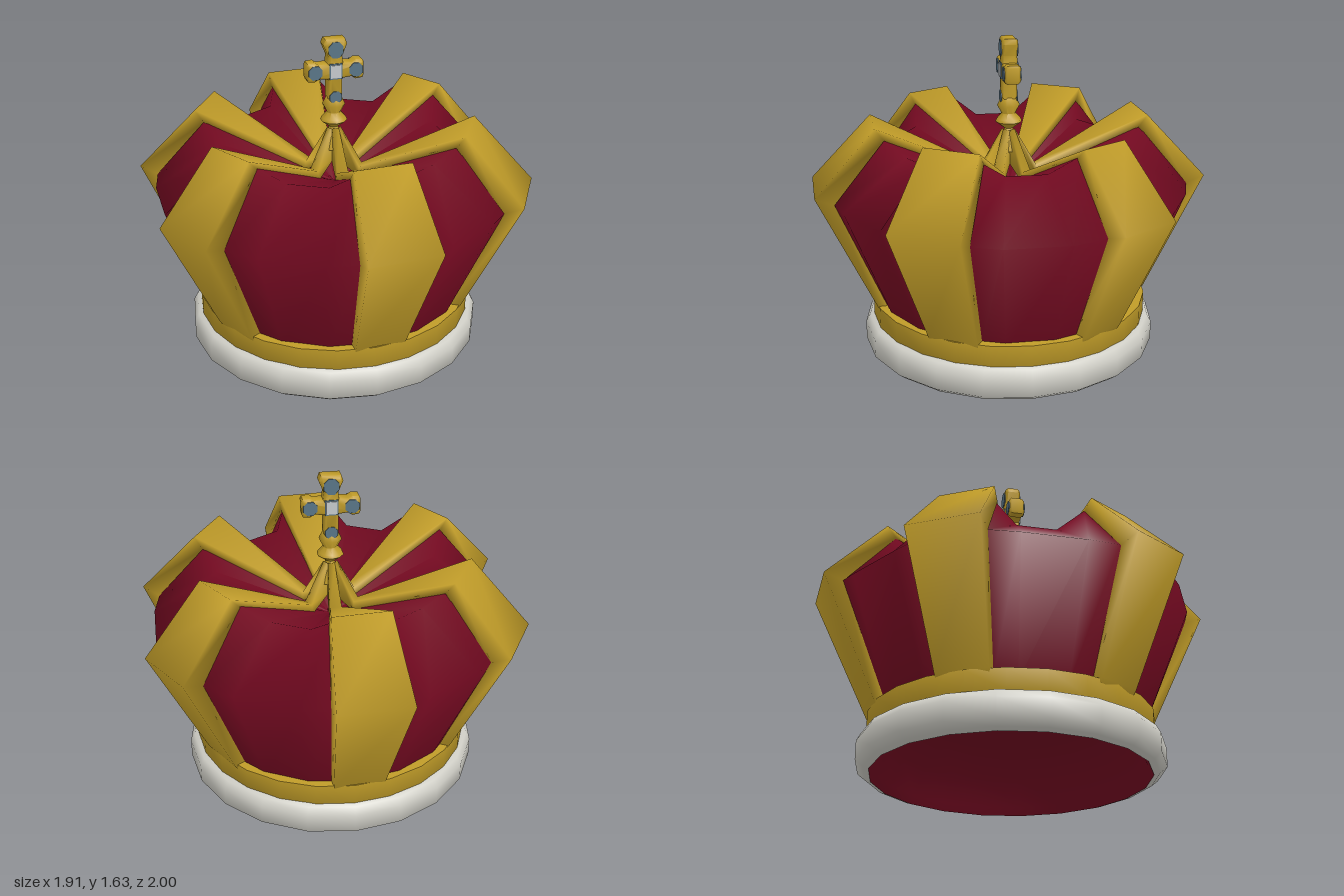
import * as THREE from 'three';
import { toCreasedNormals } from 'three/addons/utils/BufferGeometryUtils.js';

const material = (name, color) => {
  const m = new THREE.MeshStandardMaterial({ color });
  m.name = name;
  return m;
};

// Skin a list of closed rings with equal point counts, smooth all over.
function loft(rings) {
  const n = rings[0].length;
  const index = [];
  for (let j = 0; j < rings.length - 1; j++) {
    for (let k = 0; k < n; k++) {
      const a = j * n + k, b = j * n + (k + 1) % n;
      index.push(a, b, b + n, a, b + n, a + n);
    }
  }
  const g = new THREE.BufferGeometry();
  g.setAttribute('position', new THREE.Float32BufferAttribute(rings.flat(2), 3));
  g.setIndex(index);
  g.computeVertexNormals();
  return g;
}

const lathe = (points, sides, crease = 0.9) => toCreasedNormals(
  new THREE.LatheGeometry(points.map(p => new THREE.Vector2(...p)), sides), crease);

export function createModel() {
  const gold = material('gold', 0xbf9b28);
  const red = material('red velvet', 0x720920);
  const fur = material('white fur', 0xcfcec6);
  const blue = material('blue gem', 0x587486);
  const pale = material('pale gem', 0xc3c8cc);

  const model = new THREE.Group();
  const add = (name, geometry, mat, parent = model) => {
    const mesh = new THREE.Mesh(geometry, mat);
    mesh.name = name;
    parent.add(mesh);
    return mesh;
  };
  const rad = THREE.MathUtils.degToRad;

  // Fur trim and gold band
  add('furTrim', lathe([[0.695, 0], [0.725, 0.01], [0.762, 0.04],
    [0.762, 0.135], [0.74, 0.175], [0.69, 0.185]], 20, 1.1), fur);
  add('goldBand', lathe([[0.7, 0.16], [0.716, 0.18], [0.716, 0.288], [0.64, 0.292]], 24), gold);

  // Domed velvet lining, open towards the ground
  add('lining', lathe([[0, 0.4], [0.25, 0.375], [0.45, 0.3], [0.6, 0.17], [0.67, 0.04], [0.695, 0]],
    20, 1.5), red);

  // Straps, slightly uneven around the crown: angle, width factor, reach factor
  const straps = [[2.4, 1, 1], [58.9, 1, 1], [120.6, 0.89, 1.015],
    [182.4, 1, 1], [238.7, 1, 1], [300.4, 0.89, 1.015]];

  // Velvet cap: puffs out at the waist, dips between the straps and at the centre
  const columns = [];
  straps.forEach(([a], i) => {
    const b = i < 5 ? straps[i + 1][0] : straps[0][0] + 360;
    const mid = (a + b) / 2;
    columns.push([a + 11, 0], [mid - 10, 1], [mid + 10, 1], [b - 11, 0]);
  });
  // Each row: radius and height beside a strap, then in the gap
  const capRows = [[0.655, 0.25, 0.665, 0.25], [0.92, 0.87, 0.91, 0.86],
    [0.66, 1.18, 0.575, 1.09], [0.001, 0.86, 0.001, 0.86]];
  add('velvetCap', loft(capRows.map(row => columns.map(([deg, gap]) => {
    const r = row[gap * 2], y = row[gap * 2 + 1], a = rad(deg);
    return [r * Math.sin(a), y, r * Math.cos(a)];
  }))), red);

  // Strap stations: outer radius and height, inner radius and height, outer and inner width
  const stations = [
    [0.695, 0.265, 0.64, 0.265, 0.255, 0.26], [0.708, 0.288, 0.65, 0.288, 0.26, 0.265],
    [0.995, 0.905, 0.9, 0.87, 0.365, 0.37], [0.69, 1.232, 0.645, 1.17, 0.285, 0.285],
    [0.14, 0.965, 0.14, 0.915, 0.06, 0.07], [0.03, 1.16, 0.005, 1.0, 0.035, 0.035]];
  straps.forEach(([deg, width, reach], i) => {
    const rings = stations.map(([r, y, ri, yi, w, wi]) => {
      const h = w * width / 2, hi = wi * width / 2;
      return [[-h, y, r * reach], [h, y, r * reach], [hi, yi, ri], [-hi, yi, ri]];
    });
    add('strap' + (i + 1), loft(rings), gold).rotation.y = rad(deg);
  });

  // Cross on its turned foot
  const cross = new THREE.Group();
  cross.name = 'cross';
  model.add(cross);
  add('crossFoot', lathe([[0.06, 1.05], [0.045, 1.1], [0.022, 1.165], [0.068, 1.2],
    [0.062, 1.215], [0.036, 1.243], [0.058, 1.285], [0.036, 1.33], [0, 1.335]], 10, 1.2), gold, cross);

  const half = [[0.036, 1.32], [0.036, 1.425],
    [0.085, 1.43], [0.105, 1.415], [0.14, 1.42], [0.146, 1.435], [0.146, 1.5],
    [0.14, 1.512], [0.105, 1.515], [0.085, 1.502], [0.04, 1.505], [0.035, 1.54],
    [0.06, 1.6], [0.05, 1.628]];
  const outline = [...half, ...half.slice().reverse().map(([x, y]) => [-x, y])];
  const body = new THREE.ExtrudeGeometry(
    new THREE.Shape(outline.map(p => new THREE.Vector2(...p))),
    { depth: 0.056, bevelThickness: 0.012, bevelSize: 0.012, bevelOffset: -0.012, bevelSegments: 1 });
  body.translate(0, 0, -0.028);
  add('crossBody', toCreasedNormals(body, 0.9), gold, cross);

  // Gems on both faces: x, y, half width, half height
  const gems = [[0, 1.575, 0.041, 0.044], [0, 1.33, 0.034, 0.034],
    [-0.104, 1.466, 0.038, 0.038], [0.104, 1.466, 0.038, 0.038]];
  for (const side of [1, -1]) {
    const face = new THREE.Group();
    face.name = side > 0 ? 'frontGems' : 'backGems';
    face.rotation.y = side > 0 ? 0 : Math.PI;
    cross.add(face);
    for (const [x, y, w, h] of gems) {
      const gem = add('armGem', new THREE.CylinderGeometry(1, 1, 0.006, 8), blue, face);
      gem.geometry.rotateY(Math.PI / 8).rotateX(Math.PI / 2).scale(w, h, 1);
      gem.position.set(x, y, 0.041);
    }
    add('centreSetting', new THREE.BoxGeometry(0.066, 0.08, 0.006), blue, face).position.set(0, 1.466, 0.041);
    add('centreGem', new THREE.BoxGeometry(0.054, 0.066, 0.006), pale, face).position.set(0, 1.466, 0.045);
  }
  return model;
}
